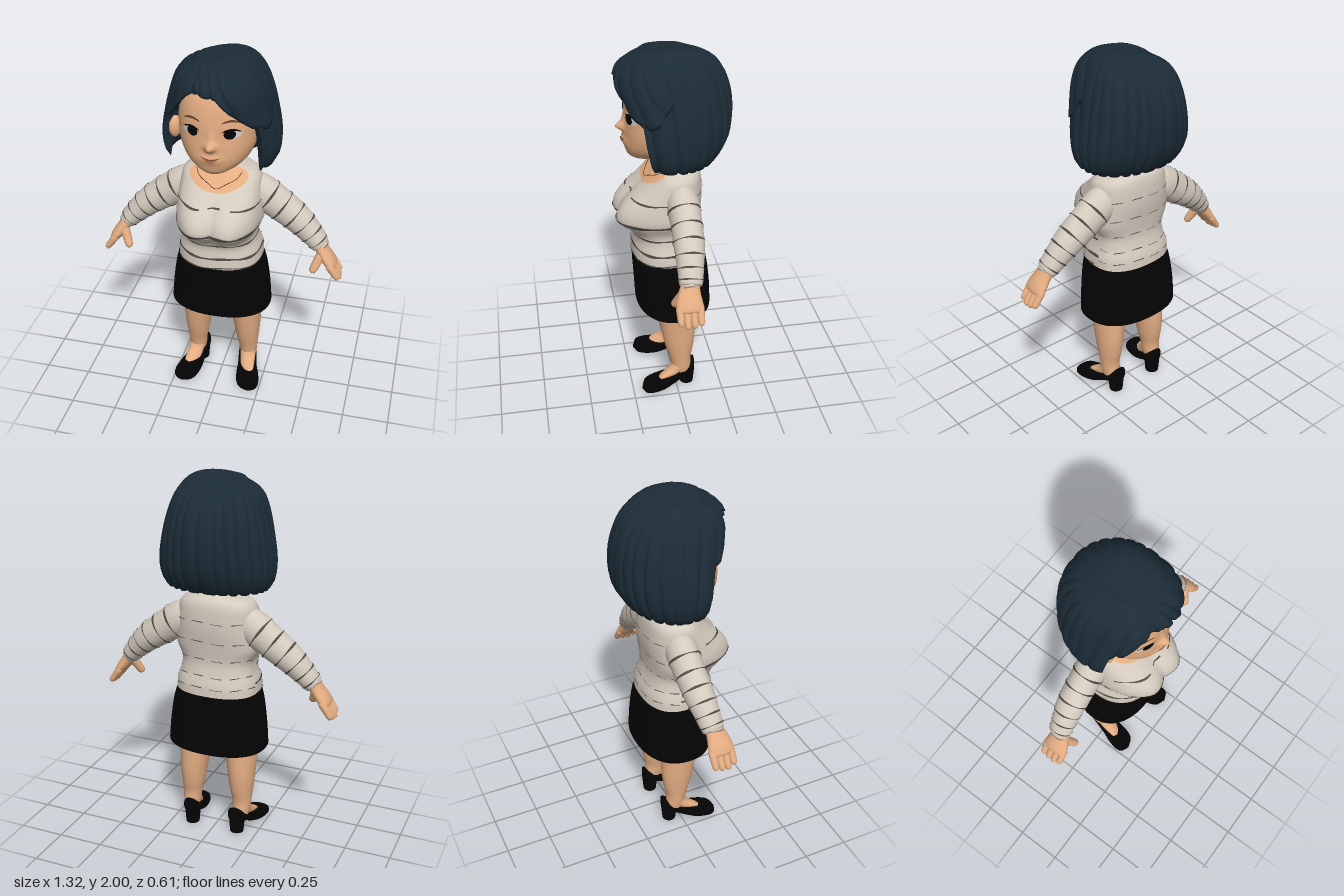
import * as THREE from 'three';

const mat = (name, color, side = THREE.FrontSide) => {
  const m = new THREE.MeshStandardMaterial({ color, side });
  m.name = name;
  return m;
};
const V = (x, y, z) => new THREE.Vector3(x, y, z);
const RAD = Math.PI / 180;

// Key rows are [param, ...values]; smooth (Hermite) or linear interpolation
function interp(keys, x, smooth = true) {
  const n = keys.length;
  let i = 0;
  while (i < n - 2 && x > keys[i + 1][0]) i++;
  const a = keys[i], b = keys[i + 1], h = b[0] - a[0];
  const t = Math.min(1, Math.max(0, (x - a[0]) / h));
  const p = keys[Math.max(0, i - 1)], q = keys[Math.min(n - 1, i + 2)];
  return a.map((v, j) => {
    if (!smooth) return v + (b[j] - v) * t;
    const m0 = (b[j] - p[j]) / (b[0] - p[0]) * h, m1 = (q[j] - v) / (q[0] - a[0]) * h;
    const t2 = t * t, t3 = t2 * t;
    return (2 * t3 - 3 * t2 + 1) * v + (t3 - 2 * t2 + t) * m0 + (3 * t2 - 2 * t3) * b[j] + (t3 - t2) * m1;
  });
}
const indexed = (keys) => keys.map((k, i) => [i, ...k]);

// Grid surface from fn(u, v); outside is dV x dU
function surf(fn, nu, nv, closed = true) {
  const pos = [], idx = [], cols = closed ? nu : nu + 1;
  for (let j = 0; j <= nv; j++)
    for (let i = 0; i < cols; i++) pos.push(...fn(i / nu, j / nv).toArray());
  for (let j = 0; j < nv; j++)
    for (let i = 0; i < nu; i++) {
      const a = j * cols + i, b = j * cols + (i + 1) % cols, c = a + cols, d = b + cols;
      idx.push(a, c, b, b, c, d);
    }
  const g = new THREE.BufferGeometry();
  g.setAttribute('position', new THREE.Float32BufferAttribute(pos, 3));
  g.setIndex(idx);
  g.computeVertexNormals();
  return g;
}

// Superelliptic outline with separate front and back depth; angle 0 faces +z
function ring(a, y, rx, rf, rb, n = 2.3) {
  const s = Math.sin(a), c = Math.cos(a);
  const k = Math.pow(Math.abs(s) ** n + Math.abs(c) ** n, -1 / n);
  return V(Math.max(0, rx) * s * k, y, Math.max(0, c > 0 ? rf : rb) * c * k);
}

// Point on a limb; keys are [x, y, z, radius along z, other radius]
function limbPoint(keys, a, t, off = 0) {
  const k = indexed(keys), at = (s) => V(...interp(k, s).slice(1, 4)), e = 0.02, end = keys.length - 1;
  const r = interp(k, t);
  const T = at(Math.min(end, t + e)).sub(at(Math.max(0, t - e))).normalize();
  const A = V(0, 0, 1).addScaledVector(T, -T.z).normalize(), B = T.clone().cross(A);
  return at(t).addScaledVector(A, Math.max(0, r[4] + off) * Math.cos(a)).addScaledVector(B, -Math.max(0, r[5] + off) * Math.sin(a));
}
const limb = (keys, nu = 24, per = 6) =>
  surf((u, v) => limbPoint(keys, u * 2 * Math.PI, v * (keys.length - 1)), nu, per * (keys.length - 1));

function mirrored(geo) {
  const g = geo.clone().scale(-1, 1, 1), ix = g.index.array;
  for (let i = 0; i < ix.length; i += 3) [ix[i], ix[i + 1]] = [ix[i + 1], ix[i]];
  g.computeVertexNormals();
  return g;
}

export function createModel() {
  const root = new THREE.Group();
  const skin = mat('skin', 0xe4ad82), hairMat = mat('hair', 0x1c2c37, THREE.DoubleSide);
  const knit = mat('cream knit', 0xd4cabe, THREE.DoubleSide), stripe = mat('stripe', 0x504b44, THREE.DoubleSide);
  const black = mat('black', 0x040404, THREE.DoubleSide), white = mat('eye white', 0xd8d2ca);
  const brown = mat('brown', 0x6b4530), lip = mat('lip', 0xbf775a);
  const add = (name, geo, m) => {
    const mesh = new THREE.Mesh(geo, m);
    mesh.name = name;
    root.add(mesh);
  };
  const pair = (name, geo, m) => {
    add(name + 'Left', geo, m);
    add(name + 'Right', mirrored(geo), m);
  };

  // Sweater body: [y, half width, front, back]
  const torsoK = [[0.845, 0.228, 0.22, 0.173], [0.9, 0.222, 0.215, 0.166], [0.96, 0.203, 0.205, 0.147], [1.02, 0.199, 0.198, 0.136],
    [1.1, 0.23, 0.195, 0.14], [1.2, 0.224, 0.168, 0.15], [1.28, 0.215, 0.135, 0.148], [1.335, 0.2, 0.1, 0.14],
    [1.365, 0.155, 0.072, 0.125], [1.39, 0.06, 0.05, 0.09]];
  const torso = (a, y, off = 0) => {
    const [, rx, rf, rb] = interp(torsoK, y);
    const p = ring(a, y, rx + off, rf + off, rb + off, 2.4);
    const dx = (Math.abs(p.x) - 0.1) / 0.14, dy = Math.abs(y - 1.105) / (y > 1.105 ? 0.15 : 0.088);
    // broad bust with a softened centre line
    const lobe = Math.exp(-dx * dx - dy ** 2.4), centre = 0.1 * Math.exp(-((p.x / 0.05) ** 2) - dy * dy);
    if (Math.cos(a) > 0) p.z += 0.118 * (lobe + centre) * Math.min(1, Math.cos(a) * 1.8);
    return p;
  };
  add('sweaterBody', surf((u, v) => torso(u * 2 * Math.PI, 1.39 - 0.545 * v), 80, 60), knit);

  // Knit stripes on the body: [y, height, from angle, to angle]
  const bands = [[1.215, 0.01, -62, -16], [1.22, 0.008, -6, 10], [1.215, 0.01, 24, 75], [1.085, 0.022, -95, 95],
    [0.99, 0.012, -80, 90], [0.907, 0.016, -100, 100], [0.852, 0.009, -90, 90]];
  for (const y of [1.25, 1.14, 1.04, 0.95, 0.89])
    for (let d = 100; d < 260; d += 28) bands.push([y, 0.005, d, d + 17]);
  for (const [y, h, a0, a1] of bands)
    add('bodyStripe', surf((u, v) => {
      const a = (a0 + (a1 - a0) * u) * RAD, w = h * (0.75 + 0.25 * Math.sin(9 * a));
      return torso(a, y + 0.004 * Math.sin(5 * a) + w * (0.5 - v), 0.004);
    }, 40, 2, false), stripe);

  // Neckline skin and fine necklace
  add('neckline', surf((u, v) => {
    const a = (u * 2 - 1) * 56 * RAD, low = 1.278 + 0.088 * (u * 2 - 1) ** 2;
    return torso(a, 1.39 + (low - 1.39) * v, 0.004);
  }, 30, 12, false), skin);
  const chain = [-42, -28, -14, 0, 14, 28, 42].map((d) => torso(d * RAD, 1.295 + Math.abs(d) * 0.0016, 0.006));
  add('necklace', new THREE.TubeGeometry(new THREE.CatmullRomCurve3(chain), 32, 0.002, 5), brown);
  add('neck', limb([[0, 1.34, -0.01, 0.08, 0.085], [0, 1.4, 0, 0.075, 0.077], [0, 1.52, 0.01, 0.075, 0.077]]), skin);

  // Sleeves with stripes
  const sleeve = [[0.1, 1.27, -0.02, 0.05, 0.06], [0.19, 1.225, -0.022, 0.082, 0.094], [0.3, 1.152, -0.024, 0.08, 0.089],
    [0.4, 1.08, -0.02, 0.078, 0.079], [0.475, 1.01, -0.012, 0.067, 0.065], [0.535, 0.945, -0.003, 0.057, 0.048], [0.53, 0.952, -0.003, 0.03, 0.03]];
  pair('sleeve', limb(sleeve, 28, 7), knit);
  [1.5, 2.15, 2.8, 3.45, 4.1, 4.65].forEach((t, i) => pair('sleeveStripe', surf((u, v) => {
    const a = u * 2 * Math.PI + i;
    return limbPoint(sleeve, a, t + (v - 0.5) * 0.1 * (0.65 + 0.35 * Math.sin(3 * a + i)), 0.003);
  }, 40, 2), stripe));

  // Hands
  pair('palm', limb([[0.51, 0.975, 0, 0.03, 0.03], [0.53, 0.95, 0, 0.045, 0.034], [0.56, 0.905, 0.008, 0.058, 0.034],
    [0.59, 0.865, 0.012, 0.068, 0.031], [0.61, 0.835, 0.012, 0.06, 0.023], [0.617, 0.825, 0.012, 0, 0]]), skin);
  const digit = (p, q, r) => {
    const at = (t) => [0, 1, 2].map((i) => p[i] + (q[i] - p[i]) * t);
    return limb([[...at(0), 0, 0], [...at(0.1), r, r], [...at(0.5), r, r], [...at(0.9), r * 0.8, r * 0.8], [...at(1), 0, 0]], 12, 4);
  };
  for (let i = 0; i < 4; i++) {
    const z = 0.012 + (i - 1.5) * 0.034, l = [0.015, 0, 0.003, 0.012][3 - i];
    pair('finger', digit([0.585, 0.868, z], [0.656 - l * 0.5, 0.762 + l, z], 0.019), skin);
  }
  pair('thumb', digit([0.55, 0.915, 0.03], [0.505, 0.81, 0.08], 0.024), skin);

  // Skirt with turned-in hem: [y, half width, front, back]
  const skirtK = indexed([[0.872, 0.2, 0.19, 0.15], [0.85, 0.222, 0.213, 0.168], [0.78, 0.246, 0.215, 0.185], [0.66, 0.265, 0.208, 0.2],
    [0.54, 0.276, 0.202, 0.206], [0.52, 0.275, 0.2, 0.204], [0.522, 0.262, 0.188, 0.192], [0.6, 0.25, 0.18, 0.18], [0.63, 0, 0, 0]]);
  add('skirt', surf((u, v) => ring(u * 2 * Math.PI, ...interp(skirtK, v * 8).slice(1)), 64, 48), black);

  // Legs, feet and pumps
  pair('leg', limb([[0.125, 0.68, 0, 0.1, 0.1], [0.133, 0.52, 0, 0.1, 0.094], [0.143, 0.36, -0.014, 0.091, 0.076], [0.146, 0.27, -0.02, 0.078, 0.066],
    [0.15, 0.19, -0.024, 0.059, 0.054], [0.15, 0.12, -0.032, 0.052, 0.047], [0.15, 0.08, -0.03, 0.04, 0.036]]), skin);
  pair('instep', limb([[0.15, 0.16, -0.03, 0.045, 0.045], [0.157, 0.1, 0.02, 0.032, 0.043], [0.17, 0.066, 0.09, 0.016, 0.035], [0.175, 0.06, 0.11, 0, 0]]), skin);
  // Shoe sections from heel to toe: [z, x, half width, bottom, top]
  const shoeK = indexed([[-0.108, 0.133, 0, 0.1, 0.14], [-0.1, 0.134, 0.034, 0.07, 0.163], [-0.075, 0.138, 0.048, 0.06, 0.145], [-0.03, 0.146, 0.053, 0.05, 0.112],
    [0.03, 0.158, 0.056, 0.018, 0.09], [0.08, 0.169, 0.064, 0.002, 0.08], [0.14, 0.181, 0.065, 0, 0.068], [0.18, 0.188, 0.049, 0.003, 0.056], [0.202, 0.192, 0, 0.015, 0.03]]);
  pair('shoe', surf((u, v) => {
    const [, z, x, w, lo, hi] = interp(shoeK, v * 8);
    const p = ring(u * 2 * Math.PI, 0, w, (hi - lo) / 2, (hi - lo) / 2, 2.6);
    return V(x + p.x, (lo + hi) / 2 + p.z, z);
  }, 32, 40), black);
  pair('heel', new THREE.CylinderGeometry(0.046, 0.038, 0.1, 20).translate(0.136, 0.05, -0.063), black);

  // Head: [y, half width, front, back] measured from z = 0.06
  const headK = [[1.405, 0, 0, 0], [1.412, 0.055, 0.125, 0.03], [1.43, 0.1, 0.165, 0.08], [1.46, 0.14, 0.18, 0.11], [1.5, 0.17, 0.186, 0.14],
    [1.56, 0.192, 0.186, 0.16], [1.63, 0.2, 0.182, 0.18], [1.7, 0.2, 0.18, 0.18], [1.8, 0.185, 0.16, 0.17], [1.87, 0.15, 0.12, 0.14], [1.92, 0.09, 0.06, 0.08], [1.94, 0, 0, 0]];
  // Nose, bridge and mouth relief: [y, height, half width, half length]
  const relief = (x, y) => [[1.583, 0.04, 0.027, 0.022], [1.62, 0.012, 0.02, 0.04], [1.512, 0.013, 0.055, 0.025]]
    .reduce((s, [cy, h, w, l]) => s + h * Math.exp(-((x / w) ** 2) - ((y - cy) / l) ** 2), 0);
  const head = (a, y) => {
    const p = ring(a, ...interp(headK, y), 2.2);
    return p.setZ(p.z + 0.06 + (Math.cos(a) > 0 ? relief(p.x, y) : 0));
  };
  add('head', surf((u, v) => head(u * 2 * Math.PI, 1.6725 + 0.2675 * Math.cos(Math.PI * v)), 144, 84), skin);
  pair('ear', new THREE.SphereGeometry(1, 20, 14).scale(0.028, 0.058, 0.04).rotateY(0.4).translate(0.222, 1.595, 0.085), skin);

  // Thin face plates that follow the head surface
  const plate = (cx, cy, w, h, off, bend = 0) => surf((u, v) => {
    const a = u * 2 * Math.PI, dx = -Math.sin(a) * v;
    const x = cx + dx * w, y = cy + Math.cos(a) * v * h + bend * dx * dx;
    const [, rx, rf] = interp(headK, y);
    return V(x, y, 0.06 + rf * Math.pow(Math.max(0, 1 - Math.abs(x / rx) ** 2.2), 1 / 2.2) + relief(x, y) + off);
  }, 28, 5);
  pair('eyeWhite', plate(0.105, 1.655, 0.043, 0.022, 0.003), white);
  pair('iris', plate(0.093, 1.656, 0.028, 0.026, 0.006), black);
  pair('upperLash', plate(0.1, 1.681, 0.045, 0.005, 0.006, -0.016), black);
  pair('eyebrow', plate(0.098, 1.724, 0.044, 0.006, 0.004, -0.014), brown);
  add('mouthLine', plate(0, 1.52, 0.052, 0.003, 0.005, 0.012), brown);
  add('lips', plate(0, 1.513, 0.038, 0.011, 0.003, 0.012), lip);

  // Hair: q is the square root of depth below the crown; [q, half width, front, back]
  const hairK = [[0, 0, 0, 0], [0.141, 0.115, 0.12, 0.1], [0.2, 0.16, 0.175, 0.15], [0.316, 0.213, 0.262, 0.23], [0.424, 0.248, 0.285, 0.275],
    [0.548, 0.28, 0.27, 0.3], [0.67, 0.303, 0.25, 0.29], [0.742, 0.29, 0.222, 0.24], [0.78, 0.25, 0.19, 0.19]];
  const groove = (a, q, sweep) => {
    const phase = a + 0.07 * Math.sin(3 * a) + 0.04 * Math.sin(7 * a) - (sweep + 0.35 * Math.sin(a)) * q;
    return (1 - Math.abs(Math.sin(11 * phase))) ** 2 * (0.7 + 0.3 * Math.sin(5 * a + 1));
  };
  const hairPoint = (a, q, k, sweep) => {
    const [, rx, rf, rb] = interp(hairK, q), fade = Math.min(1, q * 4);
    const part = 0.08 * Math.exp(-(((a + 25 * RAD) / 0.09) ** 2));
    const f = 1 + fade * (k - 1 - 0.07 * groove(a, q, sweep) - part);
    const p = ring(a, 2.003 - q * q, rx * f, rf * f, rb * f, 2.1);
    // strands fan out from a sunken parting line rather than a single point
    const s = Math.max(0, 1 - q / 0.35) ** 2;
    p.x -= 0.085 * s;
    p.y += 0.03 * (Math.sin(a) * Math.exp(-(((q - 0.18) / 0.11) ** 2)) * Math.min(1, q * 8) - s);
    p.z += 0.06 * (1 + Math.cos(a)) * s;
    return p;
  };
  const shell = (a0, a1, edge, lift, sweep, jag, nu, closed) => surf((u, v) => {
    const d = a0 + (a1 - a0) * u, a = d * RAD, k = lift(d);
    const b = interp(edge, d, false)[1];
    const qb = Math.sqrt(2 - b - jag * groove(a, 0.75, sweep));
    return v <= 0.7 ? hairPoint(a, qb * v / 0.7, k, sweep)
      : hairPoint(a, qb * (1 - 0.6 * (v - 0.7) / 0.3), k * 0.87, sweep);
  }, nu, 40, closed);
  add('bobHair', shell(-180, 180, [[-180, 1.43], [-67, 1.415], [-63, 1.66], [-50, 1.7], [-32, 1.83], [-22, 1.86], [8, 1.855], [21, 1.78],
    [41, 1.69], [50, 1.66], [53, 1.415], [180, 1.43]], () => 1.01, 0, 0.01, 288, true), hairMat);
  add('sweptFringe', shell(-23, 92, [[-23, 1.9], [-10, 1.86], [8, 1.85], [21, 1.775], [41, 1.69], [60, 1.66], [68, 1.68], [92, 1.85]],
    (d) => 1.045 - 0.05 * THREE.MathUtils.smoothstep(d, 58, 88), 0.9, 0, 120, false), hairMat);
  // Hair mass closing the bob above the neck
  add('napeHair', new THREE.SphereGeometry(1, 32, 20).scale(0.255, 0.13, 0.185).translate(0, 1.555, -0.085), hairMat);
  return root;
}
